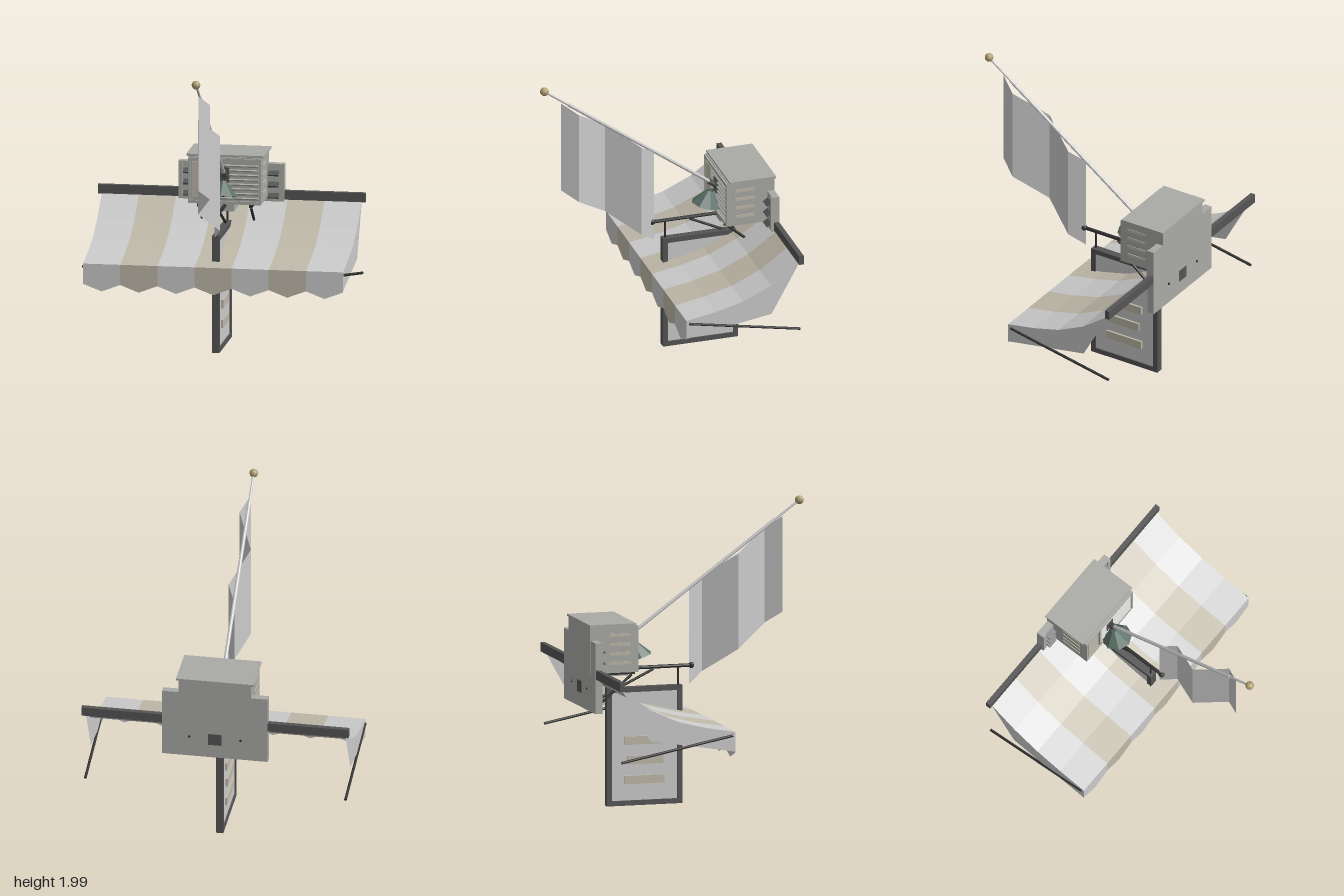
import * as THREE from 'three';

const material = (color, side = THREE.FrontSide) =>
  new THREE.MeshStandardMaterial({ color, side, flatShading: true });

export function createModel() {
  const model = new THREE.Group();
  const grey = material(0xcccccc);
  const cloth = material(0xcccccc, THREE.DoubleSide);
  const tanCloth = material(0xbfb9a9, THREE.DoubleSide);
  const tan = material(0xbfb9a9);
  const casing = material(0xaaaaa6);
  const dark = material(0x555555);
  const black = material(0x303030);
  const brass = material(0xb0a070);
  const green = material(0x5c7068, THREE.DoubleSide);
  const V = (x, y, z) => new THREE.Vector3(x, y, z);

  const add = (name, geometry, mat) => {
    const mesh = new THREE.Mesh(geometry, mat);
    mesh.name = name;
    model.add(mesh);
    return mesh;
  };
  // Box given by its low and high limits on each axis
  const box = (name, x0, x1, y0, y1, z0, z1, mat) => {
    const mesh = add(name, new THREE.BoxGeometry(x1 - x0, y1 - y0, z1 - z0), mat);
    mesh.position.set((x0 + x1) / 2, (y0 + y1) / 2, (z0 + z1) / 2);
    return mesh;
  };
  // Straight round bar between two points
  const rod = (name, a, b, r, mat) => {
    const d = b.clone().sub(a);
    const mesh = add(name, new THREE.CylinderGeometry(r, r, d.length(), 8), mat);
    mesh.position.copy(a).add(b).multiplyScalar(0.5);
    mesh.quaternion.setFromUnitVectors(V(0, 1, 0), d.normalize());
    return mesh;
  };
  const ball = (name, p, r, mat) => {
    const mesh = add(name, new THREE.SphereGeometry(r, 10, 8), mat);
    mesh.position.copy(p);
  };
  // Thin sheet strung between two equally long edges
  const sheet = (name, edgeA, edgeB, mat) => {
    const points = [], index = [];
    edgeA.forEach((a, i) => {
      points.push(a, edgeB[i]);
      if (i) {
        const k = 2 * i;
        index.push(k - 2, k - 1, k, k - 1, k + 1, k);
      }
    });
    const geometry = new THREE.BufferGeometry().setFromPoints(points);
    geometry.setIndex(index);
    const flat = geometry.toNonIndexed();
    flat.computeVertexNormals();
    return add(name, flat, mat);
  };

  // Awning canopy: seven stripes sagging from the header to the front edge
  const sag = [[-0.73, 0.905], [-0.54, 0.77], [-0.35, 0.683], [-0.16, 0.635], [0.04, 0.6]];
  const half = 0.86, stripe = (2 * half) / 7;
  for (let i = 0; i < 7; i++) {
    const x0 = -half + i * stripe, x1 = x0 + stripe, xm = (x0 + x1) / 2;
    const mat = i % 2 ? tanCloth : cloth;
    sheet('awningStripe', sag.map(([z, y]) => V(x0, y, z)), sag.map(([z, y]) => V(x1, y, z)), mat);
    // Pointed valance tongue
    sheet('awningValance', [V(x0, 0.6, 0.04), V(xm, 0.6, 0.04), V(x1, 0.6, 0.04)],
      [V(x0, 0.465, 0.04), V(xm, 0.418, 0.04), V(x1, 0.465, 0.04)], mat);
  }
  box('awningHeader', -0.885, 0.885, 0.905, 0.965, -0.759, -0.726, dark);

  // Awning cheeks and the arms that hold the front edge
  const lowEdge = [[-0.73, 0.9], [-0.545, 0.566], [-0.35, 0.534], [-0.16, 0.503], [0.04, 0.47]];
  for (const s of [-1, 1]) {
    sheet('awningCheek', sag.map(([z, y]) => V(s * half, y, z)), lowEdge.map(([z, y]) => V(s * half, y, z)), cloth);
    rod('awningArm', V(s * 0.862, 0.577, 0.02), V(s * 0.862, 0.43, -0.74), 0.009, black);
  }

  // Mounting panel behind the air conditioner, with folding side fins
  box('mountingPanel', -0.35, 0.35, 0.677, 1.145, -0.762, -0.714, casing);
  box('panelPlate', -0.045, 0.045, 0.77, 0.85, -0.765, -0.76, dark);
  for (const s of [-1, 1]) {
    for (const y of [0.935, 1.01, 1.085]) {
      const fin = box('sideFin', s * 0.28 - 0.035, s * 0.28 + 0.035, y - 0.006, y + 0.006, -0.725, -0.68, dark);
      fin.rotation.x = 0.6;
    }
    box('finFrame', s * 0.335 - 0.014, s * 0.335 + 0.014, 0.905, 1.14, -0.716, -0.706, casing);
    const bolt = add('panelBolt', new THREE.CylinderGeometry(0.008, 0.008, 0.008, 8), black);
    bolt.rotation.x = Math.PI / 2;
    bolt.position.set(s * 0.17, 0.82, -0.764);
  }

  // Air conditioner casing, lid and drip tray
  box('conditionerCasing', -0.24, 0.24, 0.925, 1.236, -0.765, -0.445, casing);
  box('conditionerLid', -0.256, 0.256, 1.236, 1.25, -0.77, -0.453, casing);
  box('dripTray', -0.06, 0.06, 0.875, 0.925, -0.714, -0.45, casing);
  // Front frame
  box('frontFrameTop', -0.24, 0.24, 1.21, 1.23, -0.447, -0.433, casing);
  box('frontFrameBottom', -0.24, 0.24, 0.925, 0.945, -0.447, -0.433, casing);
  for (const x of [-0.232, -0.095, 0.232])
    box('frontFramePost', x - 0.008, x + 0.008, 0.925, 1.23, -0.447, -0.433, casing);
  box('controlPanel', -0.215, -0.115, 0.965, 1.2, -0.447, -0.436, tan);
  for (let i = 0; i < 8; i++) {
    const y = 0.965 + i * 0.031;
    const slat = box('frontLouver', -0.085, 0.222, y - 0.005, y + 0.005, -0.455, -0.434, casing);
    slat.rotation.x = 0.4;
  }
  for (const s of [-1, 1])
    for (let i = 0; i < 4; i++) {
      const y = 0.99 + i * 0.062;
      box('sideVent', s * 0.24 - 0.004, s * 0.24 + 0.004, y - 0.01, y + 0.01, -0.63, -0.49, tan);
    }
  // Brackets under the conditioner
  for (const s of [-1, 1]) {
    box('bracketRail', s * 0.172 - 0.01, s * 0.172 + 0.01, 0.903, 0.925, -0.716, -0.44, black);
    rod('bracketStrut', V(s * 0.172, 0.9, -0.46), V(s * 0.172, 0.68, -0.715), 0.009, black);
  }

  // Hanging sign: arm, brace, hangers, frame and raised bars
  rod('signArm', V(0, 0.914, 0), V(0, 0.914, -0.72), 0.012, black);
  ball('signArmEnd', V(0, 0.914, 0), 0.02, black);
  rod('signBrace', V(0, 0.9, -0.26), V(0, 0.67, -0.735), 0.009, black);
  for (const z of [-0.09, -0.555]) rod('signHanger', V(0, 0.785, z), V(0, 0.912, z), 0.006, black);
  box('signBoard', -0.016, 0.016, 0.03, 0.77, -0.56, -0.09, grey);
  for (const y of [0.008, 0.757]) box('signRail', -0.025, 0.025, y, y + 0.033, -0.582, -0.068, dark);
  for (const z of [-0.582, -0.101]) box('signStile', -0.025, 0.025, 0.02, 0.78, z, z + 0.033, dark);
  [[0.15, -0.46, -0.19], [0.28, -0.44, -0.2], [0.41, -0.46, -0.19]].forEach(([y, z0, z1]) =>
    box('signRaisedBar', -0.03, 0.03, y, y + 0.055, z0, z1, tan));

  // Flagpole in two thicknesses, with socket and ball finial
  const foot = V(0, 1.11, -0.45), tip = V(0, 1.972, 0.738);
  const along = (t) => foot.clone().lerp(tip, t);
  rod('flagpole', foot, along(0.86), 0.012, grey);
  rod('flagpoleTip', along(0.86), tip, 0.008, grey);
  rod('flagpoleSocket', foot, along(0.05), 0.02, dark);
  box('socketPlate', -0.03, 0.03, 1.07, 1.17, -0.446, -0.43, dark);
  ball('flagpoleFinial', tip, 0.029, brass);

  // Flag hanging in folds from the pole
  const folds = [[0.625, 1.87, 0], [0.52, 1.795, 0.057], [0.305, 1.645, -0.055], [0.09, 1.493, 0.055], [-0.015, 1.42, 0]];
  sheet('flag', folds.map(([z, y, x]) => V(x, y, z)), folds.map(([z, y, x]) => V(x, y - 0.632, z)), cloth);

  // Lamp with a tilted eight-sided shade
  const lamp = new THREE.Group();
  lamp.name = 'lamp';
  const shade = new THREE.Mesh(new THREE.CylinderGeometry(0.02, 0.1, 0.1, 8, 1, true), green);
  shade.name = 'lampShade';
  const cap = new THREE.Mesh(new THREE.CylinderGeometry(0.02, 0.02, 0.012, 8), green);
  cap.name = 'lampCap';
  cap.position.y = 0.05;
  const bulb = new THREE.Mesh(new THREE.SphereGeometry(0.028, 8, 6), black);
  bulb.name = 'lampBulb';
  bulb.position.y = -0.025;
  lamp.add(shade, cap, bulb);
  lamp.position.set(0, 1.038, -0.383);
  lamp.rotation.x = -0.26;
  model.add(lamp);
  rod('lampNeck', V(0, 1.085, -0.395), V(0, 1.085, -0.446), 0.01, black);

  return model;
}
